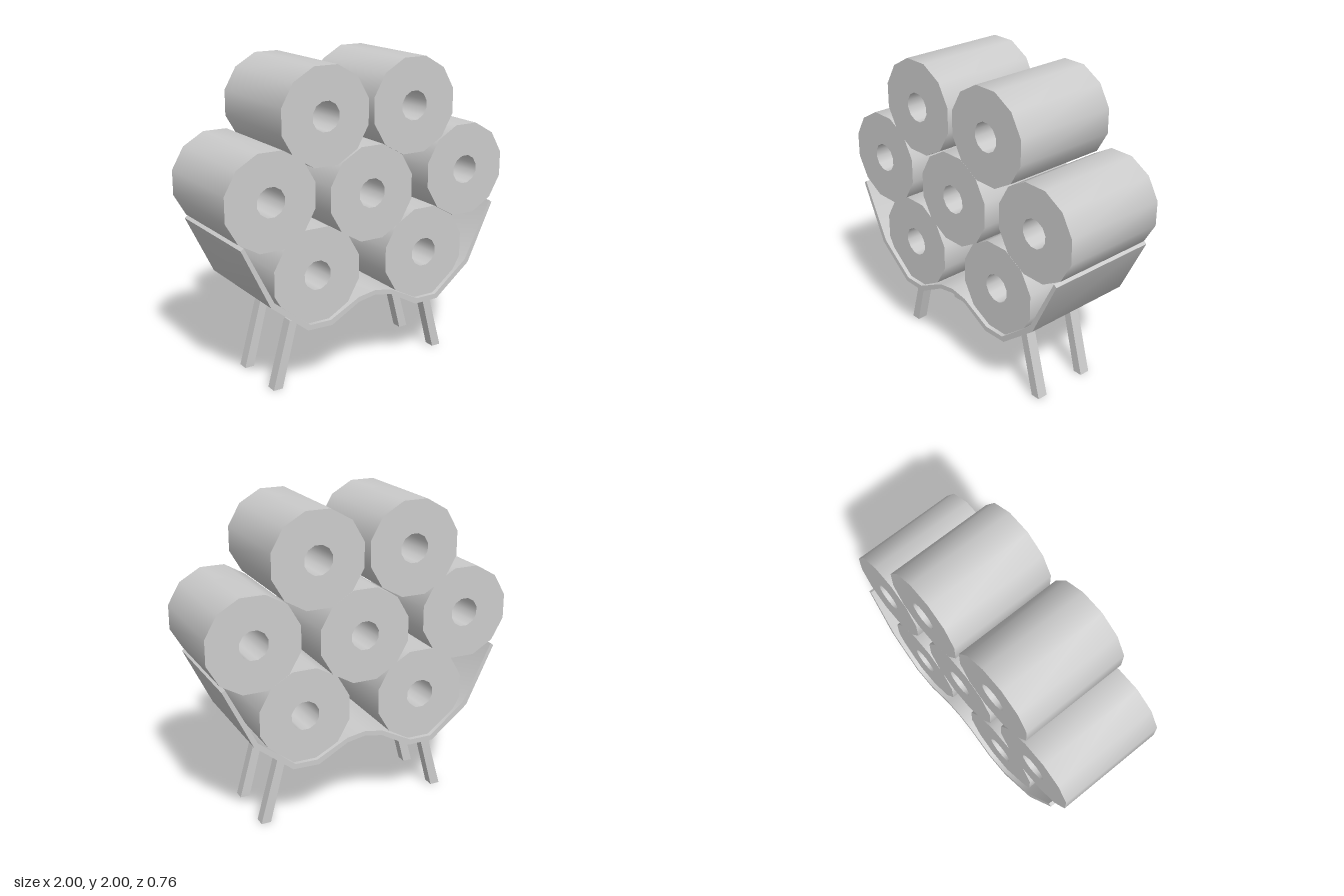
import * as THREE from 'three';
import { toCreasedNormals } from 'three/addons/utils/BufferGeometryUtils.js';

const material = new THREE.MeshStandardMaterial({ color: 0xcccccc });

// Extrude an outline along z, centred on z = 0, with smooth sides and sharp rims
function extrude(shape, depth) {
  const geometry = new THREE.ExtrudeGeometry(shape, { depth, bevelEnabled: false });
  geometry.translate(0, 0, -depth / 2);
  return toCreasedNormals(geometry, 0.7);
}

function toShape(points) {
  return new THREE.Shape(points.map(([x, y]) => new THREE.Vector2(x, y)));
}

// Twelve-sided ring with a flat side on top
function ring(radius) {
  const points = [];
  for (let i = 0; i < 12; i++) {
    const a = ((i + 0.5) / 12) * Math.PI * 2;
    points.push(new THREE.Vector2(radius * Math.cos(a), radius * Math.sin(a)));
  }
  return points;
}

function addMesh(parent, geometry, name, x = 0, y = 0, z = 0) {
  const mesh = new THREE.Mesh(geometry, material);
  mesh.name = name;
  mesh.position.set(x, y, z);
  parent.add(mesh);
  return mesh;
}

export function createModel() {
  const model = new THREE.Group();
  model.name = 'rollHolder';

  // Stacked hollow rolls
  const rolls = new THREE.Group();
  rolls.name = 'rolls';
  model.add(rolls);
  const rollShape = new THREE.Shape(ring(0.305));
  rollShape.holes.push(new THREE.Path(ring(0.093).reverse()));
  const rollGeometry = extrude(rollShape, 0.705);
  const centres = [
    [-0.335, 1.705], [0.295, 1.705],
    [-0.705, 1.25], [-0.01, 1.2], [0.705, 1.25],
    [-0.4, 0.75], [0.39, 0.75],
  ];
  centres.forEach(([x, y]) => addMesh(rolls, rollGeometry, 'roll', x, y));

  // Curved tray: half profiles from the middle outwards, mirrored in x
  const mirror = (half) => [...half.slice(1).reverse().map(([x, y]) => [-x, y]), ...half];
  const under = [[0, 0.55], [0.12, 0.528], [0.315, 0.42], [0.485, 0.423], [0.735, 0.622], [0.92, 1.005]];
  const over = [[0, 0.58], [0.12, 0.56], [0.325, 0.455], [0.47, 0.455], [0.71, 0.645], [0.9, 1.02]];
  const trayShape = toShape([...mirror(under), ...mirror(over).reverse()]);
  addMesh(model, extrude(trayShape, 0.76), 'tray');

  // Four splayed legs
  for (const side of [1, -1]) {
    const outline = [[0.582, 0], [0.645, 0], [0.524, 0.44], [0.472, 0.425]];
    const points = outline.map(([x, y]) => [side * x, y]);
    const legGeometry = extrude(toShape(points), 0.07);
    for (const z of [0.19, -0.19]) addMesh(model, legGeometry, 'leg', 0, 0, z);
  }

  return model;
}
